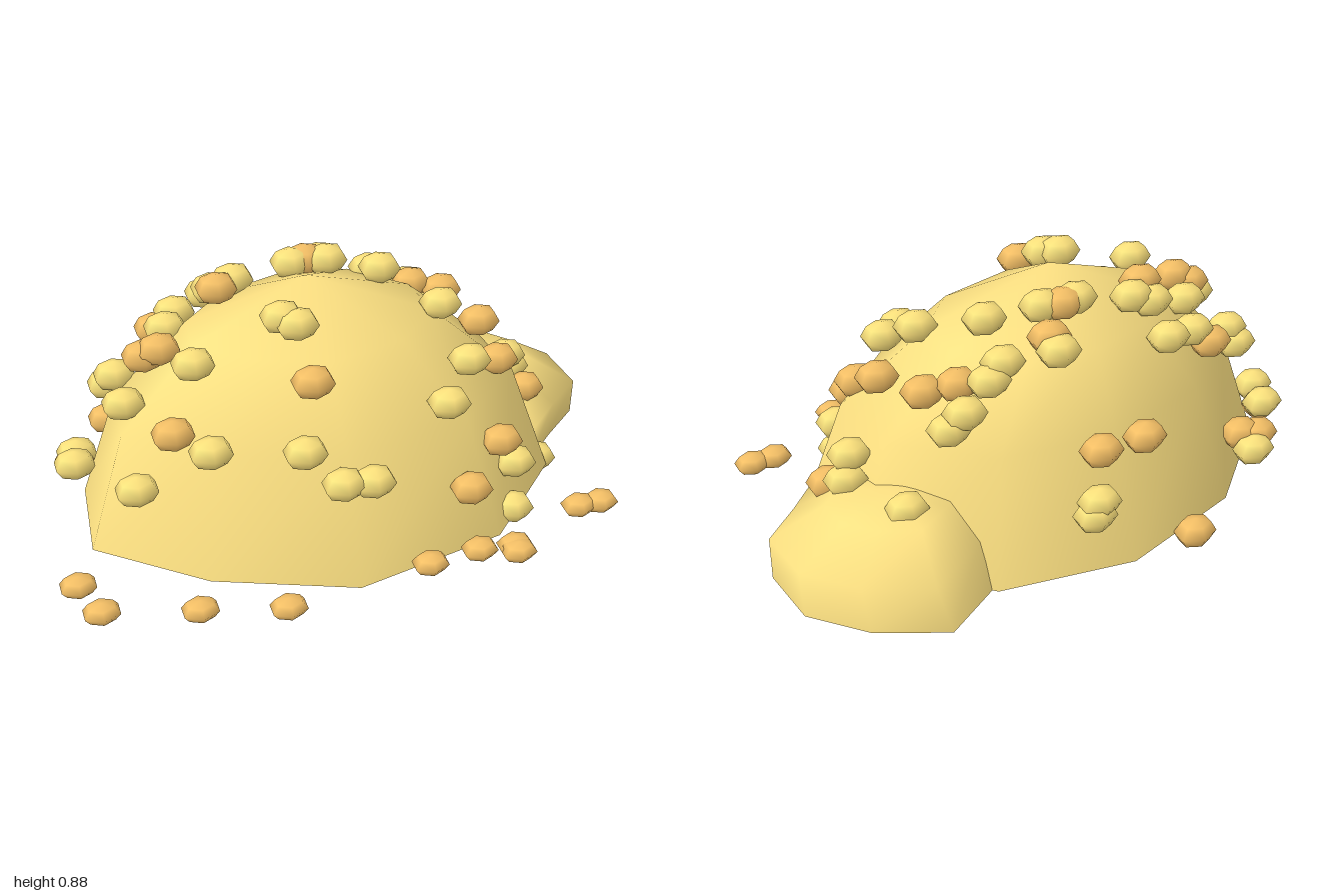
import * as THREE from 'three';

const GOLD = 0xfde182, YELLOW = 0xfee37d, ORANGE = 0xf5c066;
const BASE_Y = 0.053;

// Faceted mound, open below: one rim outline drawn in and lifted ring by ring to an apex.
// Each ring is [x scale, z scale, lift, x shift, z shift].
function mound(name, cx, cz, height, rim, rings) {
  const n = rim.length, positions = [], index = [];
  for (const [sx, sz, lift, dx, dz] of rings)
    for (const [x, z] of rim) positions.push(cx + dx + x * sx, BASE_Y + lift * height, cz + dz + z * sz);
  positions.push(cx, BASE_Y + height, cz);
  const apex = rings.length * n;
  for (let r = 0; r < rings.length; r++) {
    for (let i = 0; i < n; i++) {
      const j = (i + 1) % n, a = r * n + i, b = r * n + j;
      if (r === rings.length - 1) index.push(a, b, apex);
      else index.push(a, b, b + n, a, b + n, a + n);
    }
  }
  const geometry = new THREE.BufferGeometry();
  geometry.setAttribute('position', new THREE.Float32BufferAttribute(positions, 3));
  geometry.setIndex(index);
  geometry.computeVertexNormals();
  const mesh = new THREE.Mesh(geometry, new THREE.MeshStandardMaterial({ color: GOLD, side: THREE.DoubleSide }));
  mesh.name = name;
  return mesh;
}

// Rim outlines, from the front round by the left side
const MAIN_RIM = [
  [0, 0.625], [0.53, 0.51], [0.84, 0.19], [0.8, -0.17], [0.46, -0.5],
  [0, -0.585], [-0.45, -0.45], [-0.77, -0.15], [-0.8, 0.18], [-0.46, 0.45],
];
const SIDE_RIM = [
  [0.12, 0.375], [0.25, 0.25], [0.39, 0.13], [0.37, -0.09], [0.22, -0.26],
  [0, -0.38], [-0.22, -0.25], [-0.38, -0.1], [-0.36, 0.12], [-0.16, 0.3],
];

// Nugget centres on the mounds
const YELLOW_NUGGETS = [
  [-0.18, 0.82, 0.08], [-0.14, 0.81, 0.12], [-0.2, 0.52, 0.41], [-0.09, 0.41, 0.465], [0.01, 0.4, 0.465],
  [0.31, 0.55, 0.325], [0.57, 0.24, 0.305], [0.55, 0.09, 0.36], [-0.71, 0.35, 0.225], [-0.48, 0.51, 0.31],
  [-0.7, 0.55, 0.02], [-0.48, 0.71, 0.1], [0.43, 0.61, 0.19], [0.39, 0.73, 0.01], [0.72, 0.33, -0.13],
  [0.69, 0.4, -0.1], [0.76, 0.053, 0.075], [0.61, 0.32, -0.35], [0.23, 0.8, -0.16], [0.24, 0.72, -0.3],
  [0.3, 0.68, -0.32], [0.4, 0.61, -0.35], [0.45, 0.56, -0.34], [0.08, 0.75, -0.37], [0.06, 0.83, -0.22],
  [-0.06, 0.83, -0.23], [0.06, 0.31, -0.6], [0.08, 0.27, -0.61], [-0.86, 0.21, -0.16], [-0.84, 0.19, -0.25],
  [-0.71, 0.47, -0.23], [-0.69, 0.52, -0.2], [-0.65, 0.18, -0.46], [-0.51, 0.68, -0.19], [-0.45, 0.65, -0.33],
  [-0.33, 0.68, -0.37], [-0.33, 0.76, -0.26], [-0.26, 0.79, -0.25], [0.72, 0.14, -0.21],
];
const ORANGE_NUGGETS = [
  [-0.33, 0.8, -0.19], [-0.14, 0.7, 0.295], [0.36, 0.27, 0.435], [0.51, 0.35, 0.315], [-0.58, 0.54, 0.22],
  [-0.61, 0.66, -0.07], [-0.56, 0.69, -0.05], [0.57, 0.53, 0.1], [0.55, 0.61, -0.03], [0.48, 0.64, -0.22],
  [0.75, 0.28, -0.05], [0.38, 0.66, -0.26], [0.08, 0.77, -0.31], [-0.01, 0.83, -0.24], [0.03, 0.47, -0.555],
  [-0.13, 0.47, -0.555], [-0.31, 0.06, -0.615], [-0.85, 0.17, -0.23], [-0.7, 0.2, -0.41], [-0.64, 0.21, -0.39],
  [-0.52, 0.59, -0.34], [0.55, 0.14, -0.38],
];
// Smaller nuggets fallen around the front (x, z)
const FALLEN = [
  [-0.94, 0.325], [-0.89, 0.47], [-0.59, 0.55], [-0.32, 0.62], [0.18, 0.555],
  [0.36, 0.535], [0.48, 0.55], [0.48, 0.58], [0.77, 0.42], [0.85, 0.42],
];

export function createModel() {
  const group = new THREE.Group();
  group.name = 'goldHeap';
  group.add(
    mound('mainMound', -0.06, -0.06, 0.822, MAIN_RIM,
      [[1, 1, 0, 0, 0], [0.83, 0.75, 0.5, 0, 0], [0.5, 0.49, 0.8, 0, -0.025]]),
    mound('sideMound', 0.61, -0.28, 0.29, SIDE_RIM,
      [[1, 1, 0, 0, 0], [0.92, 0.92, 0.5, 0.025, 0.025], [0.54, 0.52, 0.88, 0, 0.02]]),
  );

  // Six-sided pebble with its corners toward front and back
  const pebble = new THREE.SphereGeometry(1, 6, 4).rotateY(Math.PI / 2);
  const scatter = (name, color, centres, size) => {
    const set = new THREE.Group();
    set.name = name;
    const material = new THREE.MeshStandardMaterial({ color });
    for (const centre of centres) {
      const nugget = new THREE.Mesh(pebble, material);
      nugget.name = 'nugget';
      nugget.position.set(...centre);
      nugget.scale.set(...size);
      set.add(nugget);
    }
    group.add(set);
  };
  scatter('yellowNuggets', YELLOW, YELLOW_NUGGETS, [0.077, 0.053, 0.06]);
  scatter('orangeNuggets', ORANGE, ORANGE_NUGGETS, [0.076, 0.053, 0.06]);
  scatter('fallenNuggets', ORANGE, FALLEN.map(([x, z]) => [x, 0.09, z]), [0.066, 0.037, 0.052]);
  return group;
}
